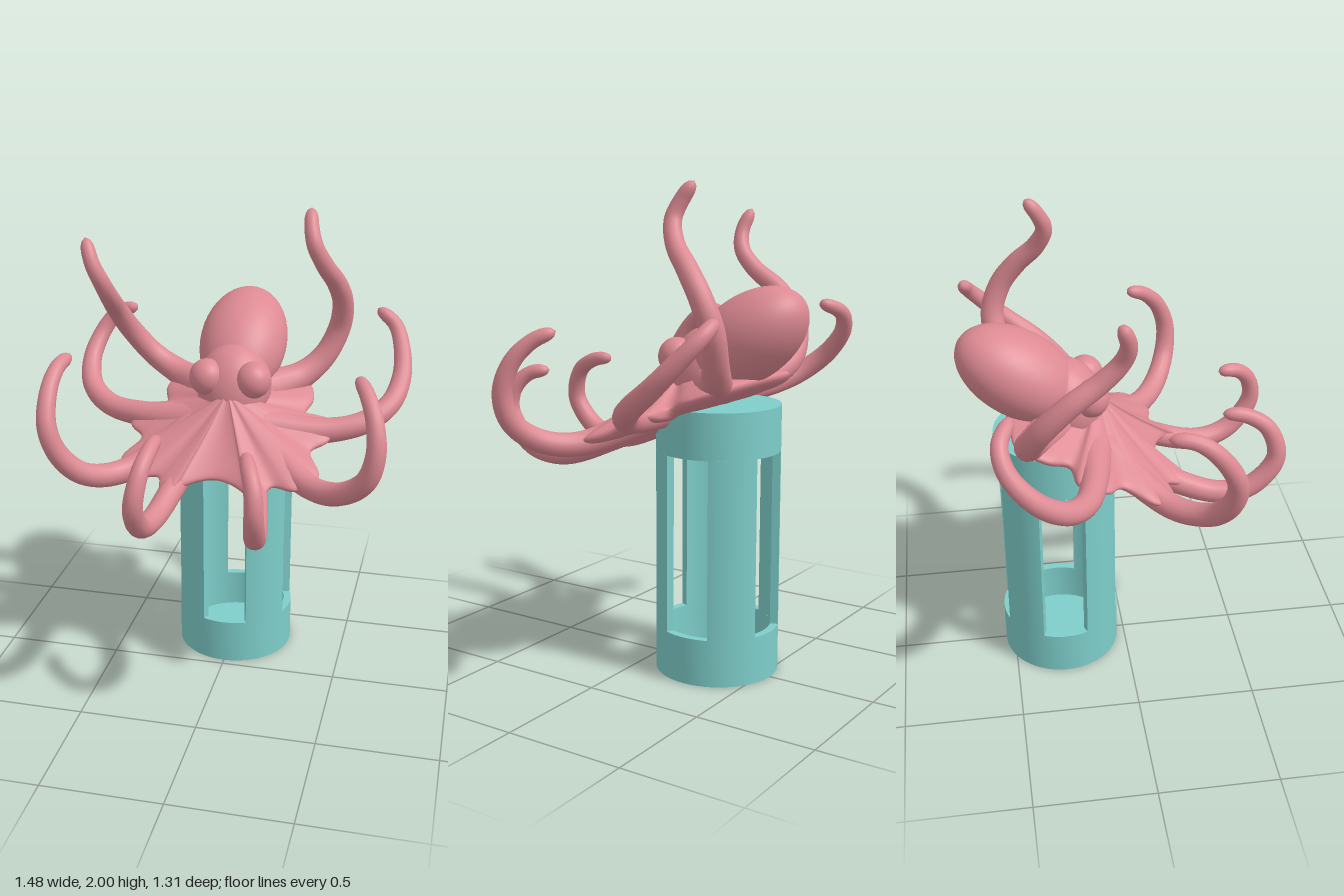
import * as THREE from 'three';
import { mergeVertices, toCreasedNormals } from 'three/addons/utils/BufferGeometryUtils.js';

const pink = new THREE.MeshStandardMaterial({ color: 0xdd8a93 });
const teal = new THREE.MeshStandardMaterial({ color: 0x7ececa });

function add(parent, name, geometry, material) {
  const mesh = new THREE.Mesh(geometry, material);
  mesh.name = name;
  parent.add(mesh);
  return mesh;
}

// Smooth normals across seams
function smooth(geometry) {
  geometry.deleteAttribute('uv');
  geometry.deleteAttribute('normal');
  const merged = mergeVertices(geometry, 1e-5);
  merged.computeVertexNormals();
  return merged;
}

// Hollow stand: closed cup at each end, four curved pillars between
function createStand() {
  const stand = new THREE.Group();
  stand.name = 'stand';
  stand.position.z = -0.285;
  const R = 0.255, r = 0.222, low = 0.195, high = 0.93, top = 1.12, wall = 0.03;
  const lathe = (profile) => toCreasedNormals(
    new THREE.LatheGeometry(profile.map(([x, y]) => new THREE.Vector2(x, y)), 64), 0.6);

  add(stand, 'baseRing', lathe([[0, 0], [R, 0], [R, low], [r, low], [r, wall], [0, wall]]), teal);
  add(stand, 'topRing', lathe([[0, top - wall], [r, top - wall], [r, high], [R, high], [R, top], [0, top]]), teal);

  const half = 0.385; // half the angle of a window
  for (let i = 0; i < 4; i++) {
    const a = i * Math.PI / 2 + half, b = (i + 1) * Math.PI / 2 - half;
    const shape = new THREE.Shape();
    shape.absarc(0, 0, R, a, b, false);
    shape.absarc(0, 0, r, b, a, true);
    shape.closePath();
    const geometry = new THREE.ExtrudeGeometry(shape, { depth: high - low, bevelEnabled: false, curveSegments: 16 });
    geometry.rotateX(-Math.PI / 2).translate(0, low, 0);
    add(stand, 'pillar', toCreasedNormals(geometry, 0.6), teal);
  }
  return stand;
}

// Tapered arm with a rounded tip, along a curve
function createArm(points) {
  const curve = new THREE.CatmullRomCurve3(points.map((p) => new THREE.Vector3(...p)));
  const rows = 80, sides = 16;
  const geometry = new THREE.TubeGeometry(curve, rows, 1, sides, false);
  const pos = geometry.attributes.position;
  const v = new THREE.Vector3();
  for (let i = 0; i <= rows; i++) {
    const u = i / rows, centre = curve.getPointAt(u);
    let radius = 0.053 - 0.026 * u * u + 0.03 * Math.max(0, 1 - u / 0.35) ** 2;
    if (u > 0.95) radius *= Math.sqrt(Math.max(0, 1 - ((u - 0.95) / 0.05) ** 2));
    for (let j = 0; j <= sides; j++) {
      const k = i * (sides + 1) + j;
      v.fromBufferAttribute(pos, k).sub(centre).multiplyScalar(radius).add(centre);
      pos.setXYZ(k, v.x, v.y, v.z);
    }
  }
  return smooth(geometry);
}

// Scalloped web joining the arms: domed on top, almost flat below
function createWeb() {
  const half = [[0.135, 0.4], [0.175, 0.48], [0.215, 0.42], [0.24, 0.35], [0.34, 0.36], [0.42, 0.27],
    [0.365, 0.13], [0.43, 0.06], [0.43, -0.06], [0.31, -0.09], [0.33, -0.19], [0.28, -0.31], [0.15, -0.33]];
  const outline = [[0, 0.336], ...half, [0, -0.34], ...half.map(([x, z]) => [-x, z]).reverse()];
  const edge = new THREE.CatmullRomCurve3(outline.map(([x, z]) => new THREE.Vector3(x, 0, z)), true)
    .getSpacedPoints(160).slice(0, 160);

  const profile = [];
  for (let j = 0; j <= 16; j++) {
    const t = Math.sin(j / 16 * Math.PI / 2);
    profile.push([t, 0.03 * Math.sqrt(1 - t ** 6) + 0.15 * (1 - t) ** 1.5]);
  }
  for (let j = 15; j >= 0; j--) {
    const t = Math.sin(j / 16 * Math.PI / 2);
    profile.push([t, -0.04 * Math.sqrt(1 - t ** 6)]);
  }
  const n = edge.length, positions = [], index = [];
  profile.forEach(([t, h]) => edge.forEach((p) => positions.push(p.x * t, h, p.z * t)));
  for (let j = 0; j < profile.length - 1; j++) {
    for (let i = 0; i < n; i++) {
      const a = j * n + i, d = j * n + (i + 1) % n, b = a + n, c = d + n;
      index.push(a, b, c, a, c, d);
    }
  }
  const geometry = new THREE.BufferGeometry();
  geometry.setAttribute('position', new THREE.Float32BufferAttribute(positions, 3));
  geometry.setIndex(index);
  return smooth(geometry);
}

function createOctopus() {
  const octopus = new THREE.Group();
  octopus.name = 'octopus';

  const ellipsoid = (name, [x, y, z], [rx, ry, rz], tilt = 0) => {
    const mesh = add(octopus, name, new THREE.SphereGeometry(1, 40, 28), pink);
    mesh.position.set(x, y, z);
    mesh.scale.set(rx, ry, rz);
    mesh.rotation.x = tilt;
  };
  ellipsoid('mantle', [0, 1.39, -0.42], [0.19, 0.17, 0.28], 0.61);
  ellipsoid('face', [0, 1.25, -0.23], [0.16, 0.19, 0.15], -0.3);
  for (const side of [-1, 1]) ellipsoid('eye', [side * 0.1, 1.31, -0.145], [0.075, 0.078, 0.075]);

  const web = add(octopus, 'web', createWeb(), pink);
  web.position.set(0, 1.1, -0.17);
  web.rotation.x = 0.4;

  // Each arm curls its own way
  const arms = {
    rightFrontArm: [[-0.08, 1.12, -0.14], [-0.15, 0.97, 0.1], [-0.2, 0.875, 0.36], [-0.215, 0.9, 0.5],
      [-0.21, 1.03, 0.605], [-0.19, 1.16, 0.57], [-0.175, 1.22, 0.48], [-0.17, 1.235, 0.38]],
    leftFrontArm: [[0.08, 1.12, -0.14], [0.16, 0.97, 0.1], [0.215, 0.87, 0.36], [0.24, 0.9, 0.5],
      [0.255, 1.03, 0.6], [0.25, 1.13, 0.59], [0.22, 1.2, 0.53], [0.19, 1.22, 0.44]],
    rightFrontSideArm: [[-0.14, 1.09, -0.1], [-0.4, 0.965, 0.14], [-0.52, 1, 0.27], [-0.6, 1.1, 0.33],
      [-0.64, 1.22, 0.34], [-0.65, 1.35, 0.27], [-0.64, 1.42, 0.18], [-0.625, 1.435, 0.075]],
    leftFrontSideArm: [[0.14, 1.09, -0.1], [0.38, 0.97, 0.12], [0.52, 0.99, 0.22], [0.63, 1.08, 0.28],
      [0.665, 1.2, 0.29], [0.65, 1.32, 0.25], [0.61, 1.4, 0.18], [0.565, 1.44, 0.1]],
    rightSideArm: [[-0.15, 1.11, -0.14], [-0.4, 1.11, -0.17], [-0.55, 1.12, -0.22], [-0.66, 1.17, -0.31],
      [-0.7, 1.26, -0.42], [-0.67, 1.37, -0.51], [-0.61, 1.45, -0.53], [-0.5, 1.5, -0.48]],
    leftSideArm: [[0.15, 1.11, -0.14], [0.4, 1.1, -0.17], [0.56, 1.13, -0.22], [0.66, 1.19, -0.31],
      [0.695, 1.28, -0.43], [0.68, 1.38, -0.53], [0.64, 1.46, -0.595], [0.56, 1.52, -0.615]],
    rightBackArm: [[-0.12, 1.2, -0.3], [-0.28, 1.23, -0.4], [-0.4, 1.3, -0.415], [-0.49, 1.42, -0.37],
      [-0.525, 1.54, -0.27], [-0.52, 1.63, -0.15], [-0.53, 1.71, -0.08], [-0.56, 1.79, -0.06], [-0.595, 1.89, -0.09]],
    leftBackArm: [[0.12, 1.21, -0.33], [0.26, 1.25, -0.43], [0.35, 1.33, -0.48], [0.41, 1.46, -0.5],
      [0.425, 1.58, -0.46], [0.405, 1.68, -0.39], [0.365, 1.77, -0.31], [0.325, 1.86, -0.275],
      [0.305, 1.93, -0.3], [0.295, 2, -0.35]],
  };
  for (const [name, points] of Object.entries(arms)) add(octopus, name, createArm(points), pink);
  return octopus;
}

export function createModel() {
  const model = new THREE.Group();
  model.name = 'octopusOnStand';
  model.add(createStand(), createOctopus());
  return model;
}
